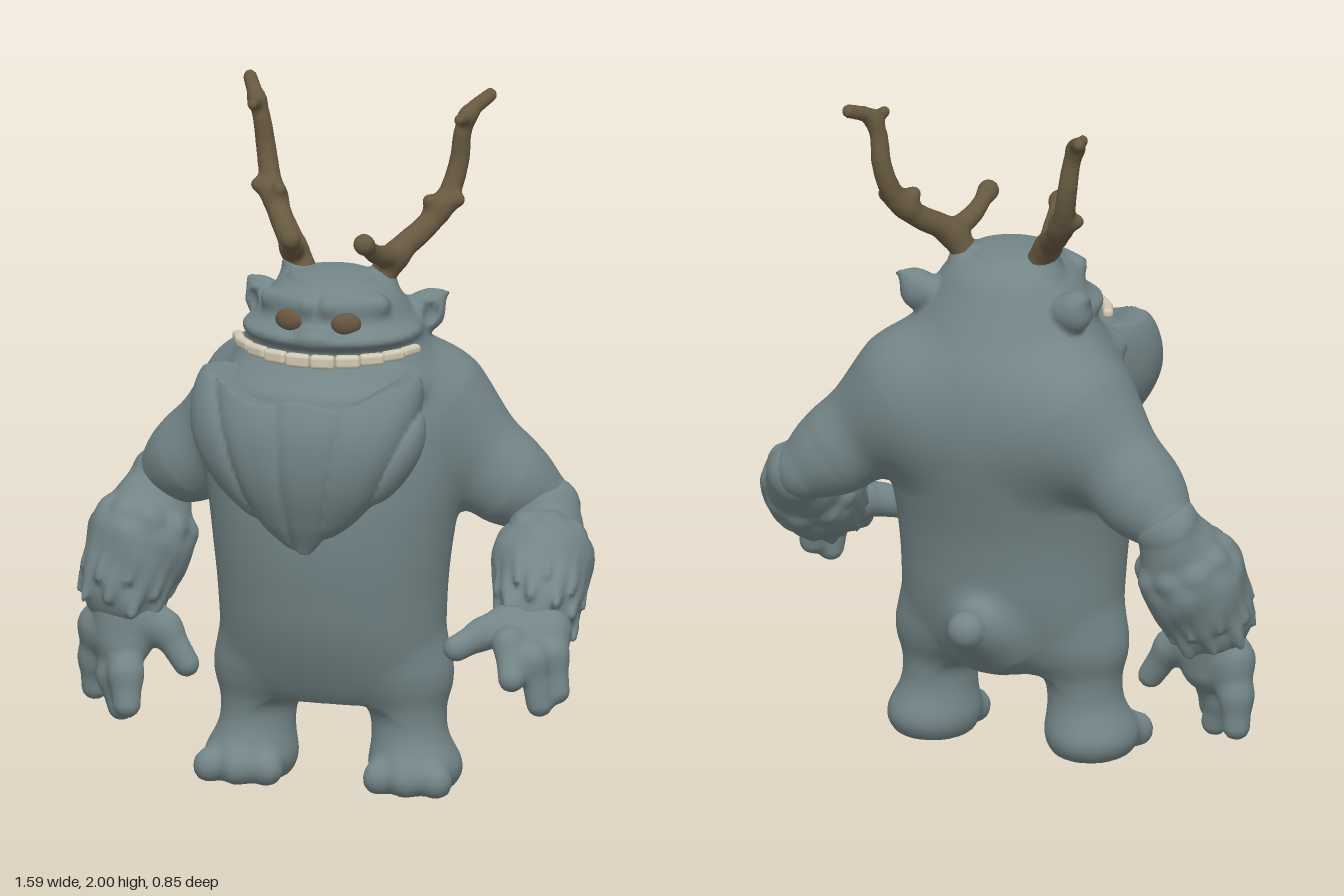
import * as THREE from 'three';
import { RoundedBoxGeometry } from 'three/addons/geometries/RoundedBoxGeometry.js';

const furGrey = new THREE.MeshStandardMaterial({ name: 'furGrey', color: 0x738587 });
const hornBrown = new THREE.MeshStandardMaterial({ name: 'hornBrown', color: 0x675940 });
const eyeBrown = new THREE.MeshStandardMaterial({ name: 'eyeBrown', color: 0x675640 });
const toothIvory = new THREE.MeshStandardMaterial({ name: 'toothIvory', color: 0xd0c8b2 });

// ---- Clay shapes: each returns a signed distance function of (x, y, z) ----
const clamp = THREE.MathUtils.clamp;

const ball = ([cx, cy, cz], [rx, ry, rz]) => (x, y, z) => {
  const a = (x - cx) / rx, b = (y - cy) / ry, c = (z - cz) / rz;
  const k0 = Math.hypot(a, b, c), k1 = Math.hypot(a / rx, b / ry, c / rz);
  return k1 < 1e-6 ? -Math.min(rx, ry, rz) : (k0 * (k0 - 1)) / k1;
};

// Tapered limb between two points given as [x, y, z, radius]
const limb = ([ax, ay, az, ar], [bx, by, bz, br]) => {
  const dx = bx - ax, dy = by - ay, dz = bz - az, len2 = dx * dx + dy * dy + dz * dz;
  return (x, y, z) => {
    const px = x - ax, py = y - ay, pz = z - az;
    const t = clamp((px * dx + py * dy + pz * dz) / len2, 0, 1);
    return Math.hypot(px - t * dx, py - t * dy, pz - t * dz) - ar - t * (br - ar);
  };
};
const chain = (...pts) => pts.slice(1).map((p, i) => limb(pts[i], p));

// Stack of oval sections [halfWidth, front z, back z], evenly spaced in y
const stack = (rows, y0, dy, low, high) => (x, y, z) => {
  const n = rows.length, u = clamp((y - y0) / dy, 0, n - 1);
  const i = Math.min(Math.floor(u), n - 2), t = u - i;
  const at = (c) => {
    const b = rows[i][c], d = rows[i + 1][c];
    const a = rows[Math.max(i - 1, 0)][c], e = rows[Math.min(i + 2, n - 1)][c];
    return b + 0.5 * t * (d - a + t * (2 * a - 5 * b + 4 * d - e + t * (3 * (b - d) + e - a)));
  };
  const w = at(0), front = at(1), back = at(2), depth = (front - back) / 2;
  const d = (Math.hypot(x / w, (z - (front + back) / 2) / depth) - 1) * Math.min(w, depth);
  return Math.max(d, low - y, y - high);
};

const blend = (a, b, k) => {
  const h = Math.max(k - Math.abs(a - b), 0) / k;
  return Math.min(a, b) - h * h * k * 0.25;
};
const merge = (shapes, k) => (x, y, z) => {
  let d = shapes[0](x, y, z);
  for (let i = 1; i < shapes.length; i++) d = blend(d, shapes[i](x, y, z), k);
  return d;
};

// Skins a distance function with a smooth quad net
function sculpt(field, min, max, cell) {
  const n = min.map((m, i) => Math.ceil((max[i] - m) / cell) + 1);
  const step = [1, n[0], n[0] * n[1]], total = step[2] * n[2];
  const value = new Float32Array(total), vertex = new Int32Array(total).fill(-1);
  const coords = (i) => [i % n[0], Math.floor(i / n[0]) % n[1], Math.floor(i / step[2])];
  for (let i = 0; i < total; i++) value[i] = field(...coords(i).map((c, a) => min[a] + c * cell));

  const position = [], normal = [], index = [];
  for (let i = 0; i < total; i++) {
    const p = coords(i);
    if (p.some((c, a) => c >= n[a] - 1)) continue;
    const sum = [0, 0, 0];
    let count = 0;
    for (let corner = 0; corner < 8; corner++) {
      const o = [corner & 1, (corner >> 1) & 1, corner >> 2];
      const j = i + o[0] + o[1] * step[1] + o[2] * step[2];
      for (let a = 0; a < 3; a++) {
        if (o[a] || value[j] < 0 === value[j + step[a]] < 0) continue;
        const t = value[j] / (value[j] - value[j + step[a]]);
        for (let b = 0; b < 3; b++) sum[b] += o[b] + (a === b ? t : 0);
        count++;
      }
    }
    if (!count) continue;
    vertex[i] = position.length / 3;
    const [x, y, z] = sum.map((s, a) => min[a] + (p[a] + s / count) * cell);
    const e = cell * 0.5;
    const g = new THREE.Vector3(field(x + e, y, z) - field(x - e, y, z),
      field(x, y + e, z) - field(x, y - e, z), field(x, y, z + e) - field(x, y, z - e)).normalize();
    position.push(x, y, z);
    normal.push(g.x, g.y, g.z);
  }
  for (let i = 0; i < total; i++) {
    const p = coords(i);
    for (let a = 0; a < 3; a++) {
      const b = (a + 1) % 3, c = (a + 2) % 3;
      if (p[a] >= n[a] - 1 || !p[b] || !p[c] || value[i] < 0 === value[i + step[a]] < 0) continue;
      const q = [i - step[b] - step[c], i - step[c], i, i - step[b]].map((j) => vertex[j]);
      if (q.some((v) => v < 0)) continue;
      if (value[i] >= 0) q.reverse();
      index.push(q[0], q[1], q[2], q[0], q[2], q[3]);
    }
  }
  const geometry = new THREE.BufferGeometry();
  geometry.setAttribute('position', new THREE.Float32BufferAttribute(position, 3));
  geometry.setAttribute('normal', new THREE.Float32BufferAttribute(normal, 3));
  return geometry.setIndex(index);
}

// Torso, head, upper arms, legs and tail; one half, mirrored through |x|
function bodyField() {
  const torso = stack([[0.2, 0.08, -0.13], [0.32, 0.145, -0.21], [0.33, 0.195, -0.255], [0.332, 0.23, -0.28],
    [0.337, 0.25, -0.292], [0.347, 0.265, -0.308], [0.36, 0.272, -0.333], [0.375, 0.27, -0.36],
    [0.38, 0.26, -0.38], [0.37, 0.24, -0.38], [0.335, 0.2, -0.355], [0.275, 0.16, -0.3],
    [0.215, 0.13, -0.235], [0.1, 0.07, -0.12]], 0.2, 0.1, 0.26, 1.49);
  const broad = merge([torso,
    ball([0.2, 1.06, -0.2], [0.2, 0.21, 0.17]), // shoulder blade
    limb([0.265, 1.085, -0.165, 0.17], [0.475, 0.88, -0.205, 0.115]), // upper arm
    limb([0.475, 0.88, -0.205, 0.115], [0.565, 0.815, -0.24, 0.085]), // elbow
    limb([0.218, 0.34, -0.035, 0.11], [0.23, 0.1, -0.03, 0.108]), // leg
    limb([0, 0.39, -0.21, 0.115], [0, 0.45, -0.37, 0.056]), // tail
    ball([0.254, 0.055, -0.025], [0.124, 0.08, 0.145]), // foot
    ball([0, 1.425, -0.04], [0.195, 0.085, 0.175]), // skull
  ], 0.075);
  const fine = merge([broad,
    ball([0, 1.2, 0.08], [0.3, 0.1, 0.262]), // jaw
    ball([0, 1.355, -0.01], [0.262, 0.05, 0.21]), // upper lip
    ball([0, 1.365, 0.185], [0.04, 0.022, 0.025]), // nose
    limb([0.03, 1.45, 0.132, 0.026], [0.165, 1.448, 0.06, 0.028]), // brow
    limb([0.13, 1.48, -0.08, 0.045], [0.135, 1.51, -0.08, 0.035]), // horn root
    ball([0.248, 1.385, -0.15], [0.05, 0.06, 0.05]), // ear
    limb([0.22, 1.39, -0.15, 0.04], [0.297, 1.438, -0.17, 0.011]), // ear tip
    ...[0.168, 0.253, 0.34].map((x, i) => ball([x, 0.045, i === 1 ? 0.095 : 0.082], [0.046, 0.05, 0.05])), // toes
  ], 0.028);
  const socket = ball([0.085, 1.403, 0.185], [0.052, 0.036, 0.058]);
  const earHollow = ball([0.275, 1.385, -0.1], [0.028, 0.038, 0.03]);
  return (x, y, z) => {
    const ax = Math.abs(x);
    return Math.max(fine(ax, y, z), -socket(ax, y, z), -earHollow(ax, y, z), -y);
  };
}

// Beard: a tapering bib with grooves that run to the tip
function beardField() {
  const bib = stack([[0.025, 0.315, 0.275], [0.15, 0.365, 0.2], [0.27, 0.405, 0.11], [0.335, 0.422, 0.06],
    [0.352, 0.412, 0.03], [0.335, 0.362, 0.02], [0.27, 0.28, 0.02]], 0.75, 0.1, 0.755, 1.28);
  return (x, y, z) => {
    const lock = Math.abs(Math.sin((x / (0.12 + 0.5 * Math.max(y - 0.7, 0))) * 6 + 0.8));
    const top = 1.215 + 0.5 * x * x + 0.012 * Math.cos(24 * x);
    return Math.max(bib(x, y, z) + 0.012 * (1 - lock) ** 2, y - top);
  };
}

// Forearm fur: a core with rings of pointed locks reaching over the wrist
function furField(core, reach) {
  const [, mid, wrist] = core;
  const a = new THREE.Vector3(...mid), b = new THREE.Vector3(...wrist);
  const axis = b.clone().sub(a).normalize();
  const u = new THREE.Vector3(1, 0, 0).cross(axis).normalize(), v = axis.clone().cross(u);
  const locks = [];
  for (let ring = 0; ring < 2; ring++) {
    for (let i = 0; i < 9; i++) {
      const angle = ((i + ring * 0.5) / 9) * Math.PI * 2;
      const out = u.clone().multiplyScalar(Math.cos(angle)).addScaledVector(v, Math.sin(angle));
      const root = a.clone().addScaledVector(axis, -0.06 + ring * 0.05).addScaledVector(out, mid[3] - 0.035);
      const tip = b.clone().addScaledVector(axis, reach * (ring - 0.3 + 0.3 * (i % 2)))
        .addScaledVector(out, wrist[3] + 0.012 - ring * 0.012);
      locks.push(limb([...root.toArray(), 0.04], [...tip.toArray(), 0.012]));
    }
  }
  const fur = merge([...chain(...core), ...locks], 0.022);
  return (x, y, z) => fur(x, y, z) + 0.004 * Math.sin(38 * x + 14 * y) * Math.sin(34 * z - 16 * y);
}

// Hand: a palm with fingers given as paths from knuckle to tip
const handField = (wrist, palm, fingers) =>
  merge([limb(wrist, palm), ...fingers.flatMap((f) => chain([...palm.slice(0, 3), 0.05], ...f))], 0.03);

export function createModel() {
  const model = new THREE.Group();
  const add = (name, geometry, material) => {
    const mesh = new THREE.Mesh(geometry, material);
    mesh.name = name;
    model.add(mesh);
    return mesh;
  };

  add('body', sculpt(bodyField(), [-0.72, -0.03, -0.46], [0.72, 1.58, 0.38], 0.0142), furGrey);
  add('beard', sculpt(beardField(), [-0.4, 0.72, -0.03], [0.4, 1.32, 0.46], 0.0125), furGrey);

  // Left arm reaches forward
  add('leftForearmFur', sculpt(furField(
    [[0.59, 0.8, -0.225, 0.09], [0.625, 0.69, -0.03, 0.138], [0.655, 0.595, 0.12, 0.112]], 0.07),
  [0.42, 0.38, -0.4], [0.86, 0.94, 0.32], 0.0125), furGrey);
  add('leftHand', sculpt(handField([0.65, 0.6, 0.1, 0.09], [0.645, 0.545, 0.205, 0.075], [
    [[0.59, 0.57, 0.23, 0.052], [0.54, 0.555, 0.28, 0.042], [0.475, 0.52, 0.335, 0.038]],
    [[0.63, 0.54, 0.32, 0.042], [0.655, 0.455, 0.385, 0.038]],
    [[0.7, 0.5, 0.32, 0.043], [0.72, 0.37, 0.32, 0.038]],
    [[0.715, 0.555, 0.2, 0.058], [0.74, 0.5, 0.26, 0.043], [0.758, 0.4, 0.275, 0.038]],
  ]), [0.4, 0.3, 0], [0.84, 0.72, 0.46], 0.0105), furGrey);

  // Right arm hangs down
  add('rightForearmFur', sculpt(furField(
    [[-0.575, 0.8, -0.24, 0.095], [-0.62, 0.63, -0.165, 0.148], [-0.655, 0.5, -0.12, 0.12]], 0.07),
  [-0.86, 0.3, -0.42], [-0.4, 0.94, 0.1], 0.0125), furGrey);
  add('rightHand', sculpt(handField([-0.655, 0.5, -0.12, 0.1], [-0.65, 0.36, -0.1, 0.09], [
    [[-0.59, 0.41, -0.11, 0.06], [-0.53, 0.39, -0.11, 0.045], [-0.462, 0.29, -0.1, 0.038]],
    [[-0.62, 0.27, -0.02, 0.046], [-0.61, 0.185, 0.005, 0.04]],
    [[-0.67, 0.25, -0.07, 0.046], [-0.645, 0.16, -0.06, 0.04]],
    [[-0.725, 0.38, -0.12, 0.06], [-0.745, 0.28, -0.14, 0.046], [-0.75, 0.19, -0.15, 0.04]],
  ]), [-0.86, 0.08, -0.28], [-0.38, 0.64, 0.1], 0.0115), furGrey);

  // Antlers
  for (const s of [1, -1]) {
    const side = (pts) => pts.map(([x, y, z, r]) => [s * x + 0.012, y, z, r]);
    // Smooth branch thinning from radius r0 to r1
    const branch = (r0, r1, ...pts) => {
      const curve = new THREE.CatmullRomCurve3(pts.map((p) => new THREE.Vector3(...p)));
      const parts = chain(...side(curve.getPoints(20).map((p, i) => [...p.toArray(), r0 + (r1 - r0) * (i / 20)])));
      return (x, y, z) => Math.min(...parts.map((f) => f(x, y, z)));
    };
    const antler = merge([
      branch(0.04, 0.02, [0.12, 1.5, -0.08], [0.155, 1.56, -0.105], [0.22, 1.625, -0.19], [0.265, 1.7, -0.252],
        [0.29, 1.8, -0.283], [0.302, 1.89, -0.278], [0.322, 1.945, -0.29], [0.36, 1.98, -0.36]),
      branch(0.034, 0.022, [0.155, 1.55, -0.1], [0.125, 1.58, 0], [0.112, 1.625, 0.075]),
      limb(...side([[0.315, 1.935, -0.28, 0.022], [0.31, 1.938, -0.215, 0.016]])), // upper tine
      limb(...side([[0.255, 1.68, -0.23, 0.03], [0.3, 1.695, -0.235, 0.02]])), // outer knob
      limb(...side([[0.24, 1.66, -0.22, 0.03], [0.225, 1.695, -0.2, 0.02]])), // inner knob
      ball([s * 0.11 + 0.012, 1.63, 0.078], [0.028, 0.028, 0.026]), // front tine end
    ], 0.024);
    add(s > 0 ? 'leftAntler' : 'rightAntler', sculpt(antler,
      [s > 0 ? 0.05 : -0.44, 1.44, -0.42], [s > 0 ? 0.44 : -0.03, 2.04, 0.14], 0.009), hornBrown);

    const eye = add(s > 0 ? 'leftEye' : 'rightEye', new THREE.SphereGeometry(1, 24, 16), eyeBrown);
    eye.scale.set(0.044, 0.034, 0.024);
    eye.position.set(s * 0.085, 1.403, 0.133);
    eye.rotation.y = s * 0.25;
  }

  // Row of teeth along the curve of the mouth
  const teeth = new THREE.Group();
  teeth.name = 'teeth';
  for (let i = 0; i < 10; i++) {
    const angle = ((i - 4.5) / 4.5) * 1.2;
    const x = 0.275 * Math.sin(angle);
    const tooth = new THREE.Mesh(new RoundedBoxGeometry(0.072, 0.04 - 0.014 * (x / 0.27) ** 2, 0.03, 3, 0.011), toothIvory);
    tooth.name = 'tooth';
    tooth.position.set(x, 1.306 + 0.016 * (x / 0.27) ** 2, -0.02 + 0.232 * Math.cos(angle));
    tooth.rotation.y = Math.atan2(0.232 * Math.sin(angle), 0.275 * Math.cos(angle));
    teeth.add(tooth);
  }
  model.add(teeth);
  return model;
}
